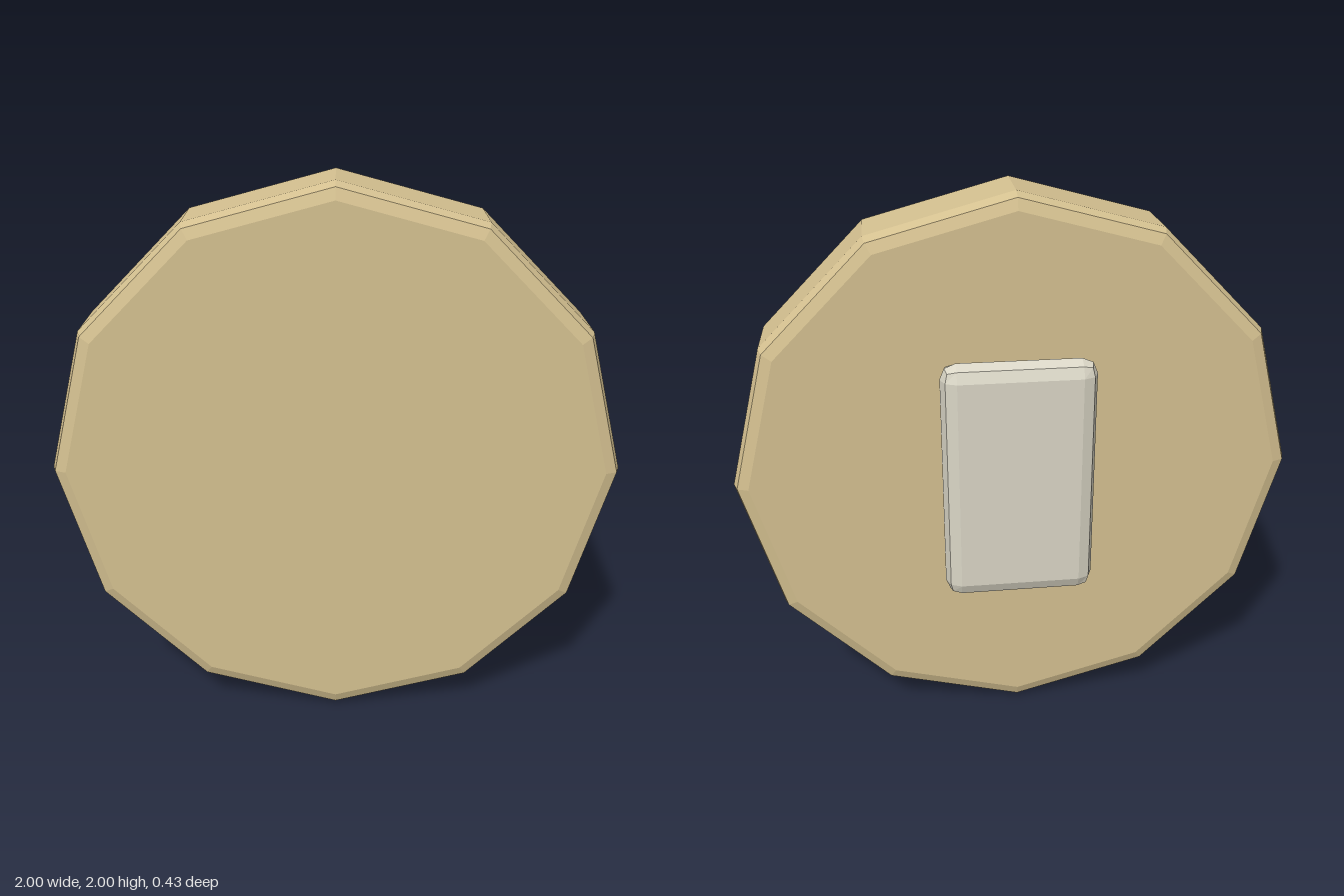
import * as THREE from 'three';
import { RoundedBoxGeometry } from 'three/addons/geometries/RoundedBoxGeometry.js';

function addPart(group, name, geometry, color, y, z) {
  const material = new THREE.MeshStandardMaterial({ color, flatShading: true });
  const mesh = new THREE.Mesh(geometry, material);
  mesh.name = name;
  mesh.position.set(0, y, z);
  group.add(mesh);
}

export function createModel() {
  const group = new THREE.Group();
  group.name = 'roundButton';

  // Twelve-sided disc with a two-step bevel on both rims
  const half = 0.17;
  const rim = [[0, half], [0.945, half], [0.985, half - 0.015], [1, half - 0.055]];
  const profile = [
    ...rim.map(([r, h]) => new THREE.Vector2(r, -h)),
    ...rim.slice().reverse().map(([r, h]) => new THREE.Vector2(r, h)),
  ];
  const disc = new THREE.LatheGeometry(profile, 12);
  disc.rotateX(Math.PI / 2);
  addPart(group, 'disc', disc, 0xd4c090, 1, 0.045);

  // Bevelled upright plate set into the back
  const plate = new RoundedBoxGeometry(0.54, 0.9, 0.115, 1, 0.055);
  addPart(group, 'backPlate', plate, 0xdad6c6, 1, -0.158);

  return group;
}
